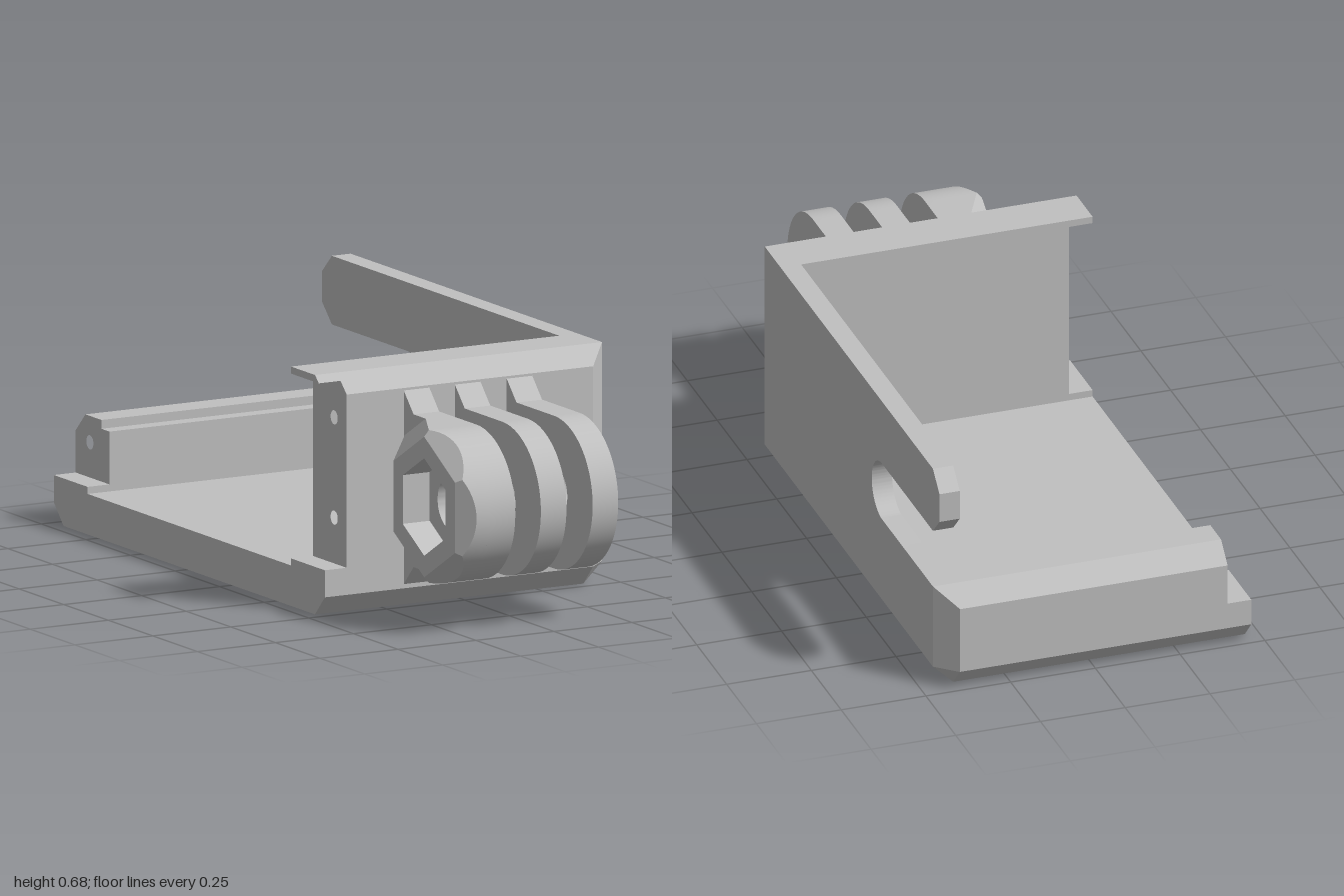
import * as THREE from 'three';
import { toCreasedNormals } from 'three/addons/utils/BufferGeometryUtils.js';
import { ConvexGeometry } from 'three/addons/geometries/ConvexGeometry.js';

const grey = new THREE.MeshStandardMaterial({ color: 0xc0c0c0 });
grey.name = 'plain grey';

export function createModel() {
  const model = new THREE.Group();
  model.name = 'clipCase';

  const add = (name, geometry) => {
    const mesh = new THREE.Mesh(geometry, grey);
    mesh.name = name;
    model.add(mesh);
  };

  // Solid from corner points [x, y, z]
  const hull = (name, points) =>
    add(name, new ConvexGeometry(points.map(p => new THREE.Vector3(...p))));

  // Side profile drawn as (-z, y), extruded from x0 to x1
  const outline = points => new THREE.Shape(points.map(([z, y]) => new THREE.Vector2(-z, y)));
  const extrude = (name, shape, x0, x1) => {
    const g = new THREE.ExtrudeGeometry(shape, { depth: x1 - x0, bevelEnabled: false, curveSegments: 32 });
    g.rotateY(Math.PI / 2).translate(x0, 0, 0);
    add(name, toCreasedNormals(g, 0.5));
  };
  const drill = (shape, z, y, r) =>
    shape.holes.push(new THREE.Path().absarc(-z, y, r, 0, Math.PI * 2, true));

  const openX = -0.46, endX = -0.39, wallX = 0.40, outX = 0.46;
  const floorY = 0.115, ledgeY = 0.135, topY = 0.68;

  // Floor with chamfers along the front, back and left
  const plan = [[openX, -1], [wallX, -1], [outX, -0.945], [outX, 0.465], [wallX, 0.52], [openX, 0.52]];
  hull('floor', [
    ...[[openX, -0.945], [wallX, -0.945], [wallX, 0.465], [openX, 0.465]].map(([x, z]) => [x, 0, z]),
    ...[0.058, floorY].flatMap(y => plan.map(([x, z]) => [x, y, z])),
  ]);

  // Left wall with a round-ended slot and a long arm
  const side = outline([[0.33, floorY], [0.33, topY], [-0.945, topY], [-1, 0.627], [-1, 0.54], [-0.945, 0.485]]);
  side.lineTo(0.52, 0.485);
  side.absarc(0.52, 0.3975, 0.0875, Math.PI / 2, Math.PI * 1.5, false);
  side.lineTo(0.81, 0.31);
  side.lineTo(0.81, floorY);
  extrude('leftWall', side, wallX, outX);

  // Front wall with two screw holes
  const front = outline([[0.33, floorY], [0.52, floorY], [0.52, 0.627], [0.465, topY], [0.33, topY]]);
  drill(front, 0.45, 0.55, 0.02);
  drill(front, 0.45, 0.265, 0.02);
  extrude('frontWall', front, endX, wallX);

  // Low back wall with a stepped inner rim and one screw hole
  const back = outline([[-0.81, floorY], [-0.81, 0.285], [-0.855, 0.285], [-0.855, 0.31],
    [-0.945, 0.31], [-1, 0.255], [-1, floorY]]);
  drill(back, -0.92, 0.235, 0.02);
  extrude('backWall', back, endX, wallX);

  // Chamfered corner posts joining the end walls to the left wall
  const corner = (name, inner, edge, face, y) => hull(name, [
    [wallX, floorY, inner], [outX, floorY, inner], [wallX, floorY, face], [outX, floorY, edge],
    [wallX, y - 0.054, face], [wallX, y, edge], [outX, y, edge], [wallX, y, inner], [outX, y, inner],
  ]);
  corner('frontCorner', 0.33, 0.465, 0.52, topY);
  corner('backCorner', -0.81, -0.945, -1, 0.31);

  // Ledges and lip reaching the open side
  extrude('frontLedge', outline([[0.33, floorY], [0.52, floorY], [0.52, ledgeY], [0.33, ledgeY]]), openX, endX);
  extrude('backLedge', outline([[-1, floorY], [-0.81, floorY], [-0.81, ledgeY], [-1, ledgeY]]), openX, endX);
  extrude('topLip', outline([[0.33, 0.66], [0.486, 0.66], [0.465, topY], [0.33, topY]]), openX, endX);

  // Three mounting fins with a through hole
  const cz = 0.785, cy = 0.345, R = 0.217;
  for (const x of [-0.207, -0.043, 0.123]) {
    const fin = outline([[0.51, 0.62], [0.52, 0.62], [0.575, cy + R]]);
    fin.absarc(-cz, cy, R, Math.PI / 2, Math.PI * 1.5, false);
    fin.lineTo(-0.575, cy - R);
    fin.lineTo(-0.52, 0.07);
    fin.lineTo(-0.51, 0.07);
    drill(fin, cz, cy, 0.075);
    extrude('mountFin', fin, x, x + 0.082);
  }

  // Nut boss: rounded body cut by a six-sided taper, with a hexagonal pocket
  const x0 = -0.293, x1 = -0.207, apothem = 0.173, N = 120;
  const rings = [[], [], [], [], []];
  for (let j = 0; j <= N; j++) {
    const t = (j / N) * Math.PI * 2, c = Math.cos(t), s = Math.sin(t);
    const sector = Math.PI / 3;
    const k = Math.cos(t - Math.round(t / sector) * sector);
    const body = c >= 0 ? R : R / Math.max(Math.abs(s), 0.01);
    const a = Math.min(body * k, apothem + x1 - x0);
    const crest = a / k;
    [[x1, 0.12 / k], [x0, 0.12 / k], [x0, apothem / k], [x0 + a - apothem, crest], [x1, crest]]
      .forEach(([x, r], i) => rings[i].push([x, cy + r * s, cz + r * c]));
  }
  const positions = [];
  for (let i = 0; i < rings.length - 1; i++) {
    for (let j = 0; j < N; j++) {
      const a = rings[i][j], b = rings[i + 1][j], c = rings[i + 1][j + 1], d = rings[i][j + 1];
      positions.push(...a, ...b, ...d, ...b, ...c, ...d);
    }
  }
  const boss = new THREE.BufferGeometry();
  boss.setAttribute('position', new THREE.Float32BufferAttribute(positions, 3));
  add('nutBoss', toCreasedNormals(boss, 0.35));

  return model;
}
